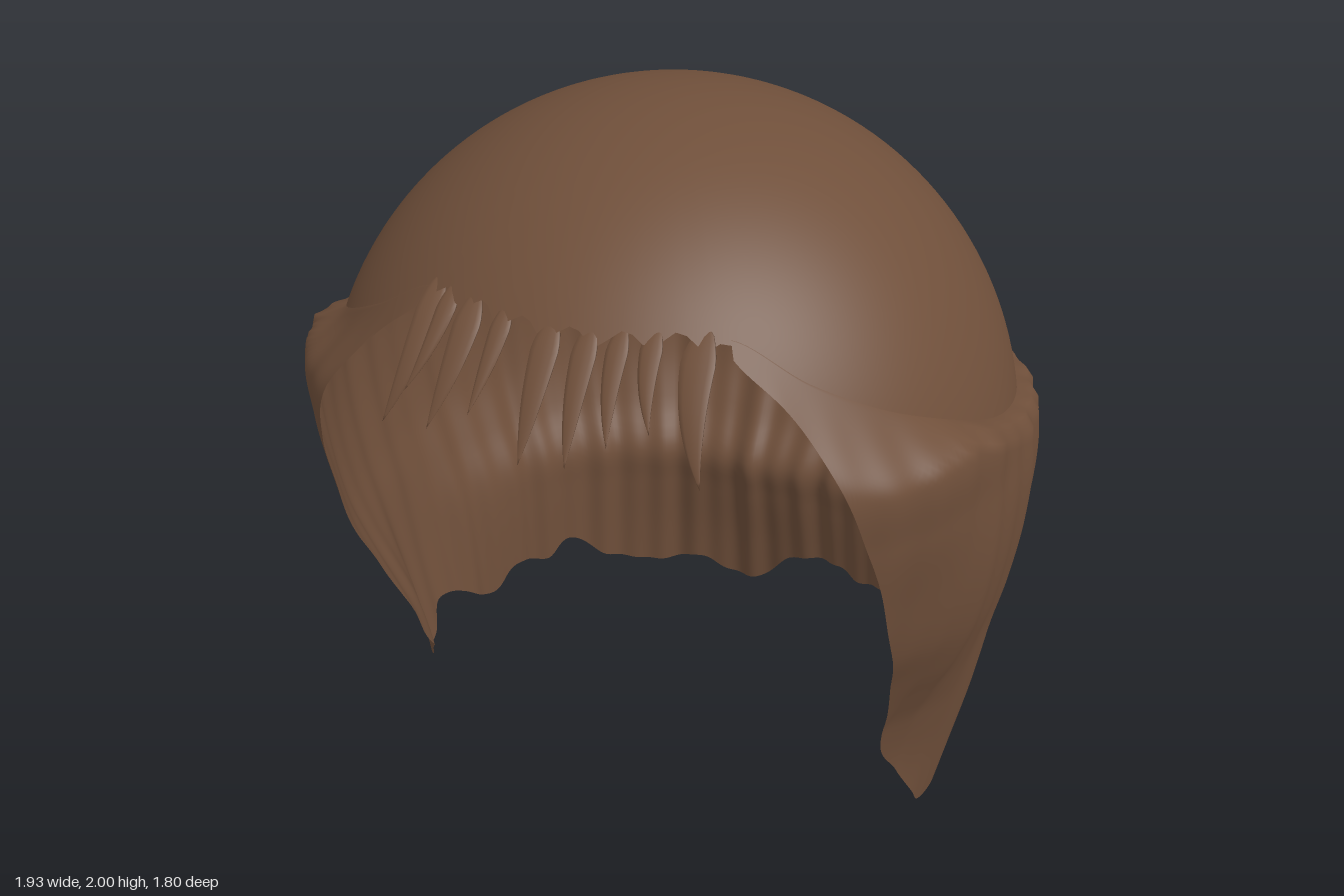
import * as THREE from 'three';
import { mergeVertices } from 'three/addons/utils/BufferGeometryUtils.js';

const R = 0.91, CY = 1.09, CZ = 0.02; // head sphere
const rad = THREE.MathUtils.degToRad;
const { lerp, smoothstep } = THREE.MathUtils;

// smooth (Hermite) lookup through a few key values
function sample(xs, ys, x) {
  const n = xs.length;
  if (x <= xs[0]) return ys[0];
  if (x >= xs[n - 1]) return ys[n - 1];
  let i = 0;
  while (x > xs[i + 1]) i++;
  const h = xs[i + 1] - xs[i], t = (x - xs[i]) / h;
  const slope = (k) => {
    const a = Math.max(k - 1, 0), b = Math.min(k + 1, n - 1);
    return (ys[b] - ys[a]) / (xs[b] - xs[a]);
  };
  const t2 = t * t, t3 = t2 * t;
  return ys[i] * (2 * t3 - 3 * t2 + 1) + ys[i + 1] * (3 * t2 - 2 * t3)
    + h * (slope(i) * (t3 - 2 * t2 + t) + slope(i + 1) * (t3 - t2));
}

// smooth surface from a rule: u runs round the head, v runs down
function grid(nu, nv, rule) {
  const pos = [], index = [];
  for (let i = 0; i <= nu; i++) {
    for (let j = 0; j <= nv; j++) pos.push(...rule(i / nu, j / nv));
  }
  for (let i = 0; i < nu; i++) {
    for (let j = 0; j < nv; j++) {
      const a = i * (nv + 1) + j, b = a + nv + 1;
      index.push(a, a + 1, b, a + 1, b + 1, b);
    }
  }
  let g = new THREE.BufferGeometry();
  g.setAttribute('position', new THREE.Float32BufferAttribute(pos, 3));
  g.setIndex(index);
  g = mergeVertices(g, 1e-5);
  g.computeVertexNormals();
  return g;
}

// point at an azimuth (degrees from the front towards +x), radius and height
const polar = (deg, r, y) => [Math.sin(rad(deg)) * r, y, CZ + Math.cos(rad(deg)) * r];
const sphereRadius = (y, r = R) => Math.sqrt(Math.max(0, r * r - (y - CY) ** 2));
const fold = (deg) => Math.min(deg, 360 - deg);

// upper seam of the side and back hair
const seamY = (deg) => sample([0, 32, 45, 62, 90, 135, 180],
  [1.7, 1.69, 1.59, 1.47, 1.3, 1.19, 1.13], fold(deg));

// lower hem: slanted front edges, pointed side locks, ragged back
const hemDeg = [32, 42, 50, 57, 64, 72, 78, 83, 86.5, 90, 97, 104, 110, 120, 128, 138, 144, 152, 158, 172, 179,
  187, 195, 202, 211, 219, 227, 234, 242, 250, 258, 265, 271, 276, 281, 288, 296, 303, 310, 318, 328];
const hemY = [1.65, 1.5, 1.2, 0.9, 0.62, 0.31, 0.19, 0.07, 0.005, 0.05, 0.2, 0.15, 0.1, 0.17, 0.13, 0.14, 0.19, 0.15, 0.18, 0.13, 0.02,
  0.01, 0.07, 0.05, 0.06, 0.1, 0.19, 0.14, 0.17, 0.1, 0.17, 0.2, 0.12, 0.11, 0.19, 0.31, 0.62, 0.9, 1.2, 1.5, 1.65];

// radius of the hanging hair by height (rows) and azimuth (columns)
const rowY = [0, 0.2, 0.4, 0.52, 0.65, 0.8, 1, 1.2, 1.4, 1.7];
const colDeg = [40, 60, 75, 90, 112, 140, 180];
const rowR = [
  [0.72, 0.72, 0.73, 0.78, 0.79, 0.8, 0.8],
  [0.72, 0.72, 0.72, 0.82, 0.79, 0.79, 0.76],
  [0.73, 0.74, 0.76, 0.86, 0.8, 0.78, 0.71],
  [0.76, 0.77, 0.81, 0.88, 0.82, 0.78, 0.69],
  [0.8, 0.81, 0.87, 0.9, 0.87, 0.85, 0.77],
  [0.86, 0.87, 0.92, 0.93, 0.92, 0.9, 0.85],
  [0.9, 0.91, 0.95, 0.955, 0.95, 0.93, 0.9],
  [0.91, 0.94, 0.95, 0.955, 0.95, 0.94, 0.92],
  [0.9, 0.93, 0.925, 0.905, 0.9, 0.89, 0.89],
  [0.7, 0.7, 0.7, 0.7, 0.7, 0.7, 0.7],
];
function hairRadius(deg, y) {
  const r = sample(rowY, rowR.map((row) => sample(colDeg, row, fold(deg))), y);
  const ripple = 0.005 * Math.sin(rad(deg * 49)) + 0.005 * Math.sin(rad(deg * 29 + 40));
  return r + ripple * sample([50, 105], [0.3, 1], fold(deg));
}

export function createModel() {
  const model = new THREE.Group();
  model.name = 'hair';
  const brown = new THREE.MeshStandardMaterial({ color: 0x6f4f3a, side: THREE.DoubleSide });
  brown.name = 'brown hair';
  const add = (name, geometry, parent = model) => {
    const mesh = new THREE.Mesh(geometry, brown);
    mesh.name = name;
    parent.add(mesh);
  };

  // smooth crown with a wavy front edge
  add('crown', grid(180, 40, (u, v) => {
    const deg = u * 360;
    const wave = fold(deg) < 30 ? 0.014 * Math.sin(rad(deg * 36)) : 0;
    const edge = Math.acos((seamY(deg) - 0.015 + wave - CY) / R) * v;
    return polar(deg, R * Math.sin(edge), CY + R * Math.cos(edge));
  }));

  // hanging side and back hair: a ledge at the seam, melting into the crown near the front
  add('sideAndBackHair', grid(444, 40, (u, v) => {
    const deg = 32 + u * 296;
    const top = seamY(deg), bottom = Math.min(sample(hemDeg, hemY, deg), top - 0.03);
    if (v === 0) return polar(deg, sphereRadius(top) - 0.004, top);
    const y = lerp(top - 0.006, bottom, (v - 1 / 40) / (39 / 40));
    const head = y > CY ? sphereRadius(y) : 0;
    const hair = Math.max(hairRadius(deg, y), head);
    const blend = lerp(0.2, 0.012, smoothstep(fold(deg), 48, 76));
    return polar(deg, y > CY ? lerp(head, hair, smoothstep(top - y, -0.005, blend)) : hair, y);
  }));

  // raised panel at the back of the crown
  add('backPanel', grid(56, 28, (u, v) => {
    const s = u * 2 - 1;
    const y = lerp(1.74 - 0.05 * s * s, 1.13, v);
    const deg = 180 + s * (19 + 10 * v);
    const rim = Math.min(1, (1 - Math.abs(s)) * 10, v * 6);
    const lift = -0.006 + rim * (0.026 + 0.003 * Math.sin(s * 24));
    return polar(deg, sphereRadius(y, R + lift), y);
  }));

  // fringe of tapered strands: root x, tip height, half width
  const fringe = new THREE.Group();
  fringe.name = 'fringe';
  model.add(fringe);
  [
    [-0.35, 1.41, 0.036], [-0.3, 1.5, 0.026], [-0.23, 1.45, 0.036],
    [-0.14, 1.51, 0.026], [-0.02, 1.44, 0.036], [0.07, 1.45, 0.032],
    [0.14, 1.5, 0.028], [0.21, 1.53, 0.028], [0.31, 1.42, 0.044],
  ].forEach(([x0, tip, w], k) => add('fringeStrand' + (k + 1), grid(10, 18, (u, v) => {
    const x = x0 * (1 + 0.2 * v * v), y = lerp(1.71, tip, v);
    const z = CZ - 0.008 + Math.sqrt(R * R - x * x - (y - CY) ** 2) + 0.035 * v;
    const taper = Math.min(1, Math.sqrt(v * 5)) * (1 - v ** 2), a = u * Math.PI * 2;
    return [x + w * taper * Math.sin(a), y, z + 0.01 * taper * Math.cos(a)];
  }), fringe));

  return model;
}
